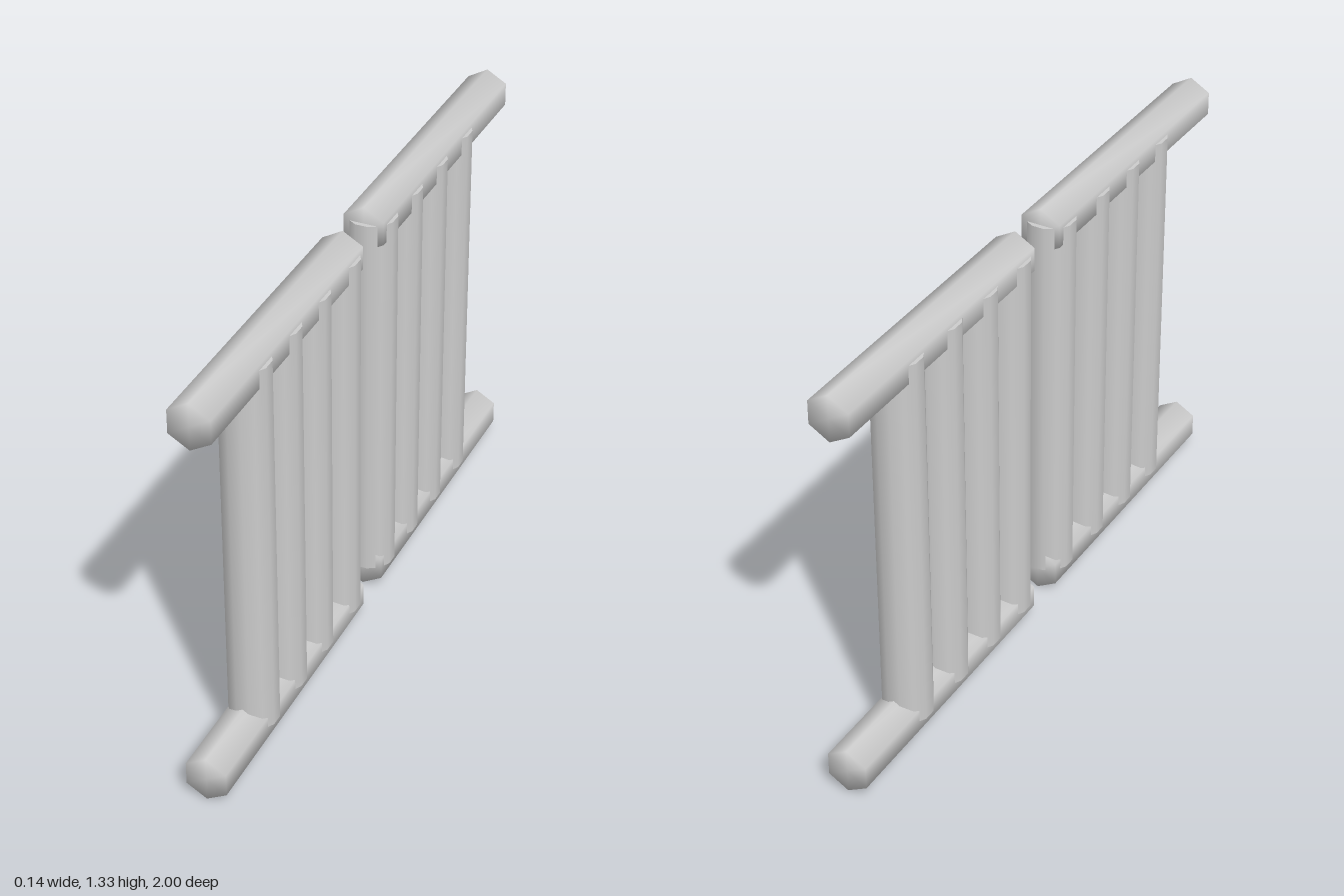
import * as THREE from 'three';
import { mergeVertices } from 'three/addons/utils/BufferGeometryUtils.js';

const material = new THREE.MeshStandardMaterial({ color: 0xcccccc });

// Hexagonal rail along z with points up and down, softly shaded across its edges
function makeRail(name, y, z0, z1) {
  let geometry = new THREE.CylinderGeometry(0.0715, 0.0715, z1 - z0, 6);
  geometry.rotateX(Math.PI / 2);
  geometry.deleteAttribute('normal');
  geometry.deleteAttribute('uv');
  geometry = mergeVertices(geometry);
  geometry.computeVertexNormals();
  const rail = new THREE.Mesh(geometry, material);
  rail.name = name;
  rail.position.set(0, y, (z0 + z1) / 2);
  return rail;
}

// Upright round bar with a flat side facing each axis
function makeBar(z) {
  const bottom = 0.075, top = 1.282, sides = 12;
  const radius = 0.0725 / Math.cos(Math.PI / sides);
  const geometry = new THREE.CylinderGeometry(radius, radius, top - bottom, sides);
  geometry.rotateY(Math.PI / sides);
  const bar = new THREE.Mesh(geometry, material);
  bar.name = 'bar';
  bar.position.set(0, (bottom + top) / 2, z);
  return bar;
}

// One gate leaf: two rails and its row of bars
function makeLeaf(name, topRail, bottomRail, barPositions) {
  const leaf = new THREE.Group();
  leaf.name = name;
  leaf.add(makeRail('topRail', ...topRail), makeRail('bottomRail', ...bottomRail));
  for (const z of barPositions) leaf.add(makeBar(z));
  return leaf;
}

export function createModel() {
  const gate = new THREE.Group();
  gate.name = 'barredGate';
  gate.add(
    makeLeaf('frontLeaf', [1.262, 0.073, 1], [0.0735, 0.063, 0.99], [0.688, 0.508, 0.326, 0.131]),
    makeLeaf('backLeaf', [1.262, -1, -0.068], [0.078, -1, -0.068], [-0.127, -0.306, -0.491, -0.683])
  );
  return gate;
}
